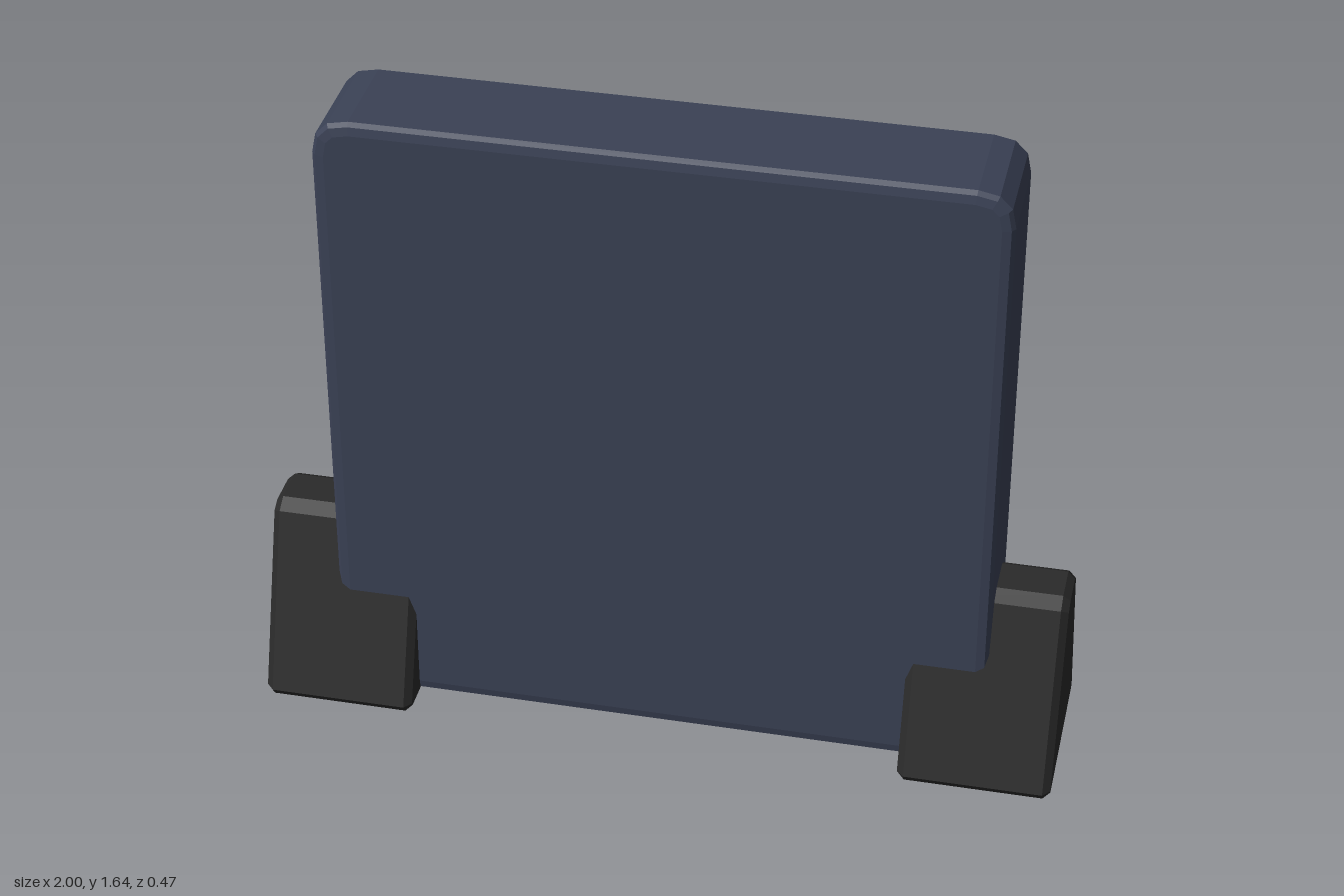
import * as THREE from 'three';

const material = (color) => new THREE.MeshStandardMaterial({ color, flatShading: true });

// Extrude a shape to a total depth, starting at z = 0, keeping its outline as the outer size
function bevelled(shape, depth, thickness, size, segments) {
  const geometry = new THREE.ExtrudeGeometry(shape, {
    depth: depth - 2 * thickness, bevelEnabled: true, bevelThickness: thickness,
    bevelSize: size, bevelOffset: -size, bevelSegments: segments, curveSegments: 3,
  });
  return geometry.translate(0, 0, thickness);
}

function roundedRect(x0, y0, x1, y1, r) {
  const s = new THREE.Shape();
  s.moveTo(x0 + r, y0);
  s.lineTo(x1 - r, y0);
  s.quadraticCurveTo(x1, y0, x1, y0 + r);
  s.lineTo(x1, y1 - r);
  s.quadraticCurveTo(x1, y1, x1 - r, y1);
  s.lineTo(x0 + r, y1);
  s.quadraticCurveTo(x0, y1, x0, y1 - r);
  s.lineTo(x0, y0 + r);
  s.quadraticCurveTo(x0, y0, x0 + r, y0);
  return s;
}

export function createModel() {
  const model = new THREE.Group();
  const blue = material(0x3a4155);
  const black = material(0x2a2a2a);
  const grey = material(0xcccccc);
  const red = material(0xf80c0c);

  const add = (parent, name, geometry, mat) => {
    const mesh = new THREE.Mesh(geometry, mat);
    mesh.name = name;
    parent.add(mesh);
    return mesh;
  };

  // Upright slab with softened edges
  const slab = bevelled(roundedRect(-0.82, 0.01, 0.82, 1.645, 0.09), 0.285, 0.015, 0.03, 2);
  add(model, 'panel', slab.translate(0, 0, -0.1425), blue);

  // Tapered feet gripping the lower corners
  const profile = [
    [-0.22, 0], [0.22, 0], [0.236, 0.022], [0.085, 0.475], [0.05, 0.497],
    [-0.05, 0.497], [-0.085, 0.475], [-0.236, 0.022],
  ].map(([x, y]) => new THREE.Vector2(x, y));
  const footGeometry = bevelled(new THREE.Shape(profile), 0.38, 0.018, 0.016, 1).rotateY(Math.PI / 2);
  add(model, 'leftFoot', footGeometry, black).position.x = 0.62;
  add(model, 'rightFoot', footGeometry, black).position.x = -1;

  // Stepped rings on the back: each step has a red ledge around a raised grey disc
  const rings = new THREE.Group();
  rings.name = 'backRings';
  rings.position.y = 0.825;
  model.add(rings);
  const disc = (name, radius, back) => {
    const depth = back - 0.13;
    const geometry = new THREE.CylinderGeometry(radius, radius, depth, 16).rotateX(Math.PI / 2);
    add(rings, name, geometry, grey).position.z = -0.13 - depth / 2;
  };
  const steps = [
    [0.78, 0.745, 0.165], [0.565, 0.535, 0.184], [0.385, 0.357, 0.202], [0.185, 0.153, 0.219],
  ];
  steps.forEach(([outer, inner, back], i) => {
    disc(`step${i + 1}`, outer, back);
    disc(`raisedDisc${i + 1}`, inner, back + 0.009);
    const ledge = new THREE.RingGeometry(inner, outer, 16).rotateY(Math.PI);
    add(rings, `redRing${i + 1}`, ledge, red).position.z = -back - 0.001;
  });

  return model;
}
